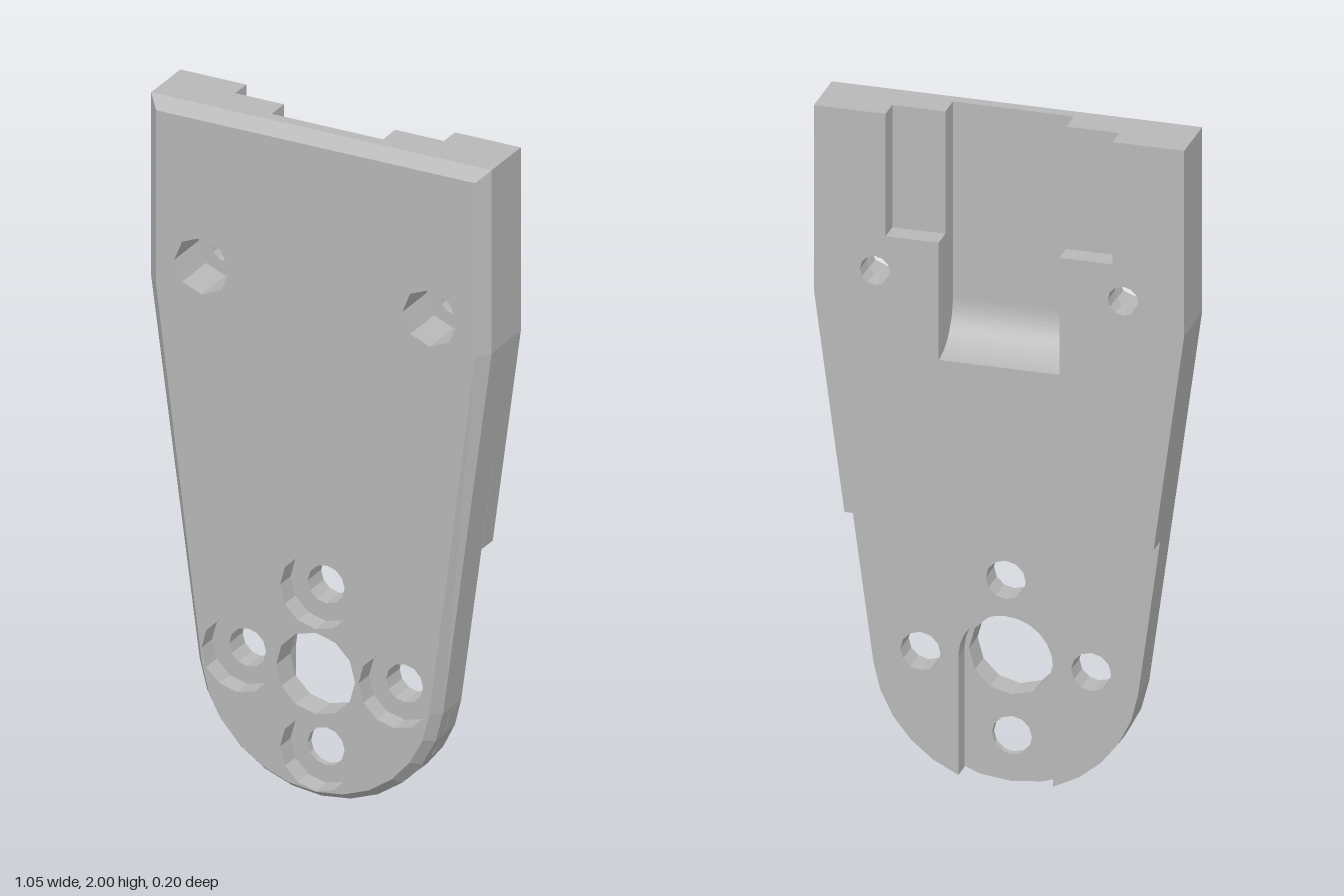
import * as THREE from 'three';

const CY = 0.385;                       // centre of the rounded lower end
const SLOT = { half: 0.172, y: 1.287 }; // deep channel at the back
const WIDE = { half: 0.323, y: 1.636 }; // shallow step beside the channel
const NOTCH = 0.135;                    // half width of the lower relief
const RELIEF_CUT = Math.acos(-NOTCH / 0.38);

const steel = new THREE.MeshStandardMaterial({ color: 0xb8b8b8 });
steel.name = 'plain grey';

// Points along an arc, angles in radians
function arc(cx, cy, r, a0, a1, n) {
  return Array.from({ length: n + 1 }, (_, i) => {
    const a = a0 + (a1 - a0) * i / n;
    return new THREE.Vector2(cx + r * Math.cos(a), cy + r * Math.sin(a));
  });
}

// Tapered plate outline with round lower end, counter-clockwise from top left
function outline(r, w, shoulder, top, { slot = false, notch = false } = {}) {
  const dy = shoulder - CY;
  const tangent = Math.atan2(dy, w) - Math.acos(r / Math.hypot(w, dy));
  const a0 = Math.PI - tangent, a1 = 2 * Math.PI + tangent;
  const pts = [new THREE.Vector2(-w, top), new THREE.Vector2(-w, shoulder)];
  if (notch) {
    const cut = 2 * Math.PI - RELIEF_CUT;
    // RELIEF_CUT is measured above the axis, so mirror it to the lower half
    pts.push(...arc(0, CY, r, a0, cut, 5));
    pts.push(...arc(0, CY, NOTCH, Math.PI, 0, 12));
    pts.push(...arc(0, CY, r, 3 * Math.PI - cut, a1, 5));
  } else {
    pts.push(...arc(0, CY, r, a0, a1, 12));
  }
  pts.push(new THREE.Vector2(w, shoulder), new THREE.Vector2(w, top));
  if (slot) pts.push(...slotPoints());
  return pts;
}

function slotPoints() {
  return [[1, 2], [1, SLOT.y], [-1, SLOT.y], [-1, 2]]
    .map(([s, y]) => new THREE.Vector2(s * SLOT.half, y));
}

// Hole groups
const hole = (x, y, r, n) => arc(x, y, r, 0, 2 * Math.PI, n).slice(0, n);
const nutHoles = (r, n) => [-0.353, 0.353].map((x) => hole(x, 1.53, r, n));
const sideAndTopHoles = (r) => [[0.243, 0], [-0.243, 0], [0, 0.243]]
  .map(([x, y]) => hole(x, CY + y, r, 12));
const boltHoles = (r) => [...sideAndTopHoles(r), hole(0, CY - 0.243, r, 12)];
const centreHole = () => hole(0, CY, 0.122, 12);

// One slice of the plate between two depths
function slice(name, points, holes, z0, z1) {
  const shape = new THREE.Shape(points);
  shape.holes = holes.map((h) => new THREE.Path(h));
  const geo = new THREE.ExtrudeGeometry(shape, { depth: z1 - z0, bevelEnabled: false });
  geo.translate(0, 0, z0);
  const mesh = new THREE.Mesh(geo, steel);
  mesh.name = name;
  return mesh;
}

// Sloping band joining the outer rim to the smaller front face
function chamfer(outer, inner, z0, z1) {
  const pos = [];
  outer.forEach((a, i) => {
    const j = (i + 1) % outer.length;
    const b = outer[j], c = inner[j], d = inner[i];
    pos.push(a.x, a.y, z0, b.x, b.y, z0, c.x, c.y, z1);
    pos.push(a.x, a.y, z0, c.x, c.y, z1, d.x, d.y, z1);
  });
  const geo = new THREE.BufferGeometry();
  geo.setAttribute('position', new THREE.Float32BufferAttribute(pos, 3));
  geo.computeVertexNormals();
  const mesh = new THREE.Mesh(geo, steel);
  mesh.name = 'frontChamfer';
  return mesh;
}

// Concave ramp closing the lower end of the channel
function channelRamp() {
  const r = 0.133;
  const shape = new THREE.Shape([
    new THREE.Vector2(-0.033, SLOT.y),
    ...arc(0.1, SLOT.y + r, r, 1.5 * Math.PI, Math.PI, 20),
  ]);
  const geo = new THREE.ExtrudeGeometry(shape, { depth: 2 * SLOT.half, bevelEnabled: false });
  geo.rotateY(Math.PI / 2).translate(-SLOT.half, 0, 0);
  const mesh = new THREE.Mesh(geo, steel);
  mesh.name = 'channelRamp';
  return mesh;
}

export function createModel() {
  const group = new THREE.Group();
  group.name = 'mountingPlate';
  const rim = (opts) => outline(0.38, 0.527, 1.45, 2, opts);
  const face = outline(0.355, 0.494, 1.445, 1.967);

  // Thick upper pad with the stepped channel
  const half = [[0.44, 0.8], [0.527, 1.45], [0.527, 2], [WIDE.half, 2],
    [WIDE.half, WIDE.y], [SLOT.half, WIDE.y], [SLOT.half, SLOT.y]];
  const pad = [...half, ...half.map(([x, y]) => [-x, y]).reverse()]
    .map(([x, y]) => new THREE.Vector2(x, y));

  group.add(
    slice('backPad', pad, nutHoles(0.043, 12), -0.1, -0.037),
    slice('reliefLayer', rim({ slot: true, notch: true }),
      [...nutHoles(0.085, 8), ...sideAndTopHoles(0.057)], -0.037, 0.02),
    slice('channelLayer', rim({ slot: true }),
      [...nutHoles(0.085, 8), ...boltHoles(0.057), centreHole()], 0.02, 0.033),
    slice('boltSeatLayer', rim(),
      [...nutHoles(0.085, 8), ...boltHoles(0.057), centreHole()], 0.033, 0.04),
    slice('counterboreLayer', rim(),
      [...nutHoles(0.085, 8), ...boltHoles(0.11), centreHole()], 0.04, 0.067),
    slice('frontFace', face,
      [...nutHoles(0.085, 8), ...boltHoles(0.11), centreHole()], 0.067, 0.1),
    chamfer(rim(), face, 0.067, 0.1),
    channelRamp(),
  );
  return group;
}
